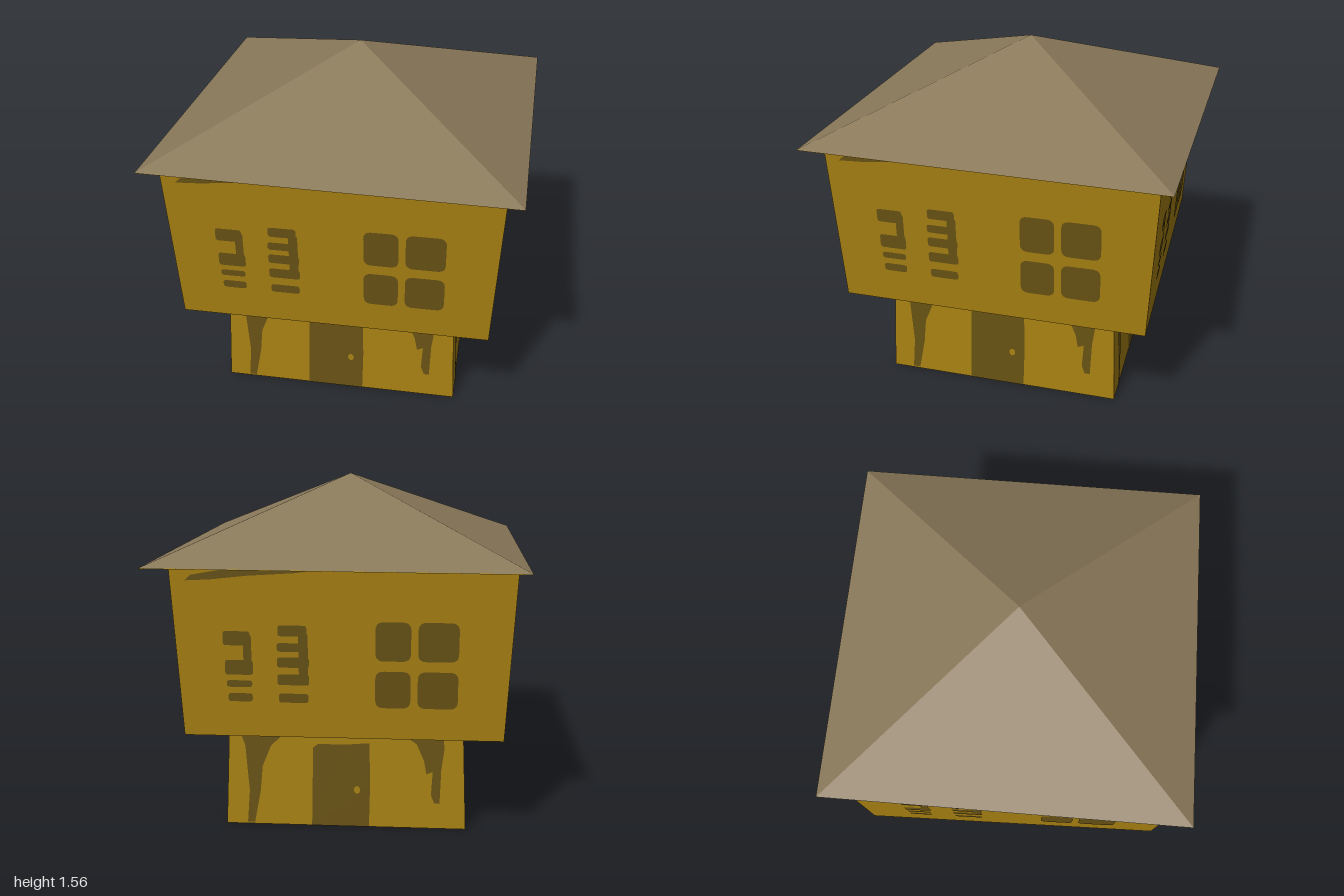
import * as THREE from 'three';

const wall = new THREE.MeshStandardMaterial({ color: 0xa88112, side: THREE.DoubleSide });
wall.name = 'ochre wall';
const trim = new THREE.MeshStandardMaterial({ color: 0x685214 });
trim.name = 'dark brown paint';
const roofMat = new THREE.MeshStandardMaterial({ color: 0x8a795a });
roofMat.name = 'taupe roof';

// Square tapered block given by half widths at bottom and top
function block(name, y0, y1, h0, h1, materials, open = false) {
  let geo = new THREE.CylinderGeometry(h1 * Math.SQRT2, h0 * Math.SQRT2, y1 - y0, 4, 1, open);
  geo.rotateY(Math.PI / 4);
  geo.translate(0, (y0 + y1) / 2, 0);
  geo = geo.toNonIndexed();
  geo.computeVertexNormals();
  const mesh = new THREE.Mesh(geo, materials);
  mesh.name = name;
  return mesh;
}

function polygon(points) {
  return new THREE.Shape(points.map(([x, y]) => new THREE.Vector2(x, y)));
}

// Rounded rectangle from left, bottom, right, top
function rounded(x0, y0, x1, y1, r) {
  const s = new THREE.Shape();
  s.moveTo(x0 + r, y0);
  s.lineTo(x1 - r, y0);
  s.quadraticCurveTo(x1, y0, x1, y0 + r);
  s.lineTo(x1, y1 - r);
  s.quadraticCurveTo(x1, y1, x1 - r, y1);
  s.lineTo(x0 + r, y1);
  s.quadraticCurveTo(x0, y1, x0, y1 - r);
  s.lineTo(x0, y0 + r);
  s.quadraticCurveTo(x0, y0, x0 + r, y0);
  return s;
}

// Painted shapes laid on a sloping wall
function paint(name, shapes, wallAt, material = trim, lift = 0.003) {
  const geo = new THREE.ShapeGeometry(shapes, 6);
  const p = geo.attributes.position;
  for (let i = 0; i < p.count; i++) p.setZ(i, wallAt(p.getY(i)) + lift);
  geo.computeVertexNormals();
  const mesh = new THREE.Mesh(geo, material);
  mesh.name = name;
  return mesh;
}

const SPLIT = 0.475, EAVE = 1.222, APEX = 1.56;
const lowerAt = y => 0.545 - 0.02 * y / SPLIT;
const upperAt = y => 0.689 + 0.0335 * (y - SPLIT) / (1.22 - SPLIT);

function facade() {
  const side = new THREE.Group();
  side.name = 'facade';

  // Shuttered windows: horizontal slats joined by a short post
  const slats = [
    [-0.505, 0.885, -0.39, 0.947], [-0.5, 0.755, -0.38, 0.82],
    [-0.495, 0.7, -0.385, 0.73], [-0.49, 0.635, -0.385, 0.672],
    [-0.272, 0.928, -0.15, 0.975], [-0.277, 0.86, -0.145, 0.898],
    [-0.277, 0.79, -0.141, 0.835], [-0.277, 0.712, -0.141, 0.76],
    [-0.272, 0.633, -0.145, 0.674],
  ].map(([a, b, c, d]) => rounded(a, b, c, d, 0.014));
  side.add(paint('shutterSlats', slats, upperAt));
  const posts = [
    rounded(-0.42, 0.77, -0.385, 0.93, 0.01),
    rounded(-0.185, 0.73, -0.145, 0.94, 0.01),
  ];
  side.add(paint('shutterPosts', posts, upperAt, trim, 0.0025));

  // Four pane window
  const panes = [];
  for (const [x0, x1] of [[0.139, 0.288], [0.318, 0.488]])
    for (const [y0, y1] of [[0.617, 0.78], [0.825, 0.995]])
      panes.push(rounded(x0, y0, x1, y1, 0.035));
  side.add(paint('windowPanes', panes, upperAt));

  // Streak under the eave
  side.add(paint('eaveStreak', polygon([
    [-0.656, 1.163], [-0.55, 1.168], [-0.4, 1.185], [-0.2, 1.198], [-0.05, 1.219],
    [-0.45, 1.219], [-0.63, 1.187],
  ]), upperAt));

  // Door with knob
  side.add(paint('door', polygon([
    [-0.152, 0.001], [0.108, 0.001], [0.112, 0.2], [0.108, 0.397], [0.0, 0.388],
    [-0.125, 0.388], [-0.146, 0.37],
  ]), lowerAt));
  const knob = new THREE.Shape();
  knob.absellipse(0.053, 0.177, 0.014, 0.018, 0, Math.PI * 2);
  side.add(paint('doorKnob', knob, lowerAt, wall, 0.006));

  // Dark braces at both sides of the door
  side.add(paint('leftBrace', polygon([
    [-0.52, 0.474], [-0.481, 0.45], [-0.454, 0.375], [-0.437, 0.16], [-0.448, 0.01],
    [-0.415, 0.01], [-0.387, 0.16], [-0.376, 0.279], [-0.337, 0.375], [-0.27, 0.44],
    [-0.237, 0.474],
  ]), lowerAt));
  side.add(paint('rightBrace', polygon([
    [0.231, 0.474], [0.275, 0.43], [0.32, 0.396], [0.353, 0.32], [0.365, 0.257],
    [0.393, 0.27], [0.387, 0.16], [0.402, 0.12], [0.426, 0.12], [0.431, 0.28],
    [0.443, 0.375], [0.437, 0.474],
  ]), lowerAt));
  return side;
}

export function createModel() {
  const model = new THREE.Group();
  model.name = 'house';

  // Two tapered storeys, the upper one overhanging
  const body = new THREE.Group();
  body.name = 'body';
  body.rotation.y = -0.276;
  body.position.set(-0.0125, 0, 0.002);
  const mats = [wall, roofMat, roofMat];
  body.add(block('lowerStorey', 0, SPLIT, lowerAt(0), lowerAt(SPLIT), mats));
  body.add(block('upperStorey', SPLIT, 1.24, upperAt(SPLIT), upperAt(1.24), mats));
  for (let i = 0; i < 4; i++) {
    const side = facade();
    side.rotation.y = i * Math.PI / 2;
    body.add(side);
  }
  model.add(body);

  // Pyramid roof with a lining, turned slightly further than the walls
  const roof = new THREE.Group();
  roof.name = 'roof';
  roof.rotation.y = -0.302;
  roof.add(block('roofCover', EAVE, APEX, 0.7987, 0, roofMat, true));
  roof.add(block('roofLining', EAVE - 0.003, APEX - 0.006, 0.7975, 0, wall, true));
  model.add(roof);
  return model;
}
